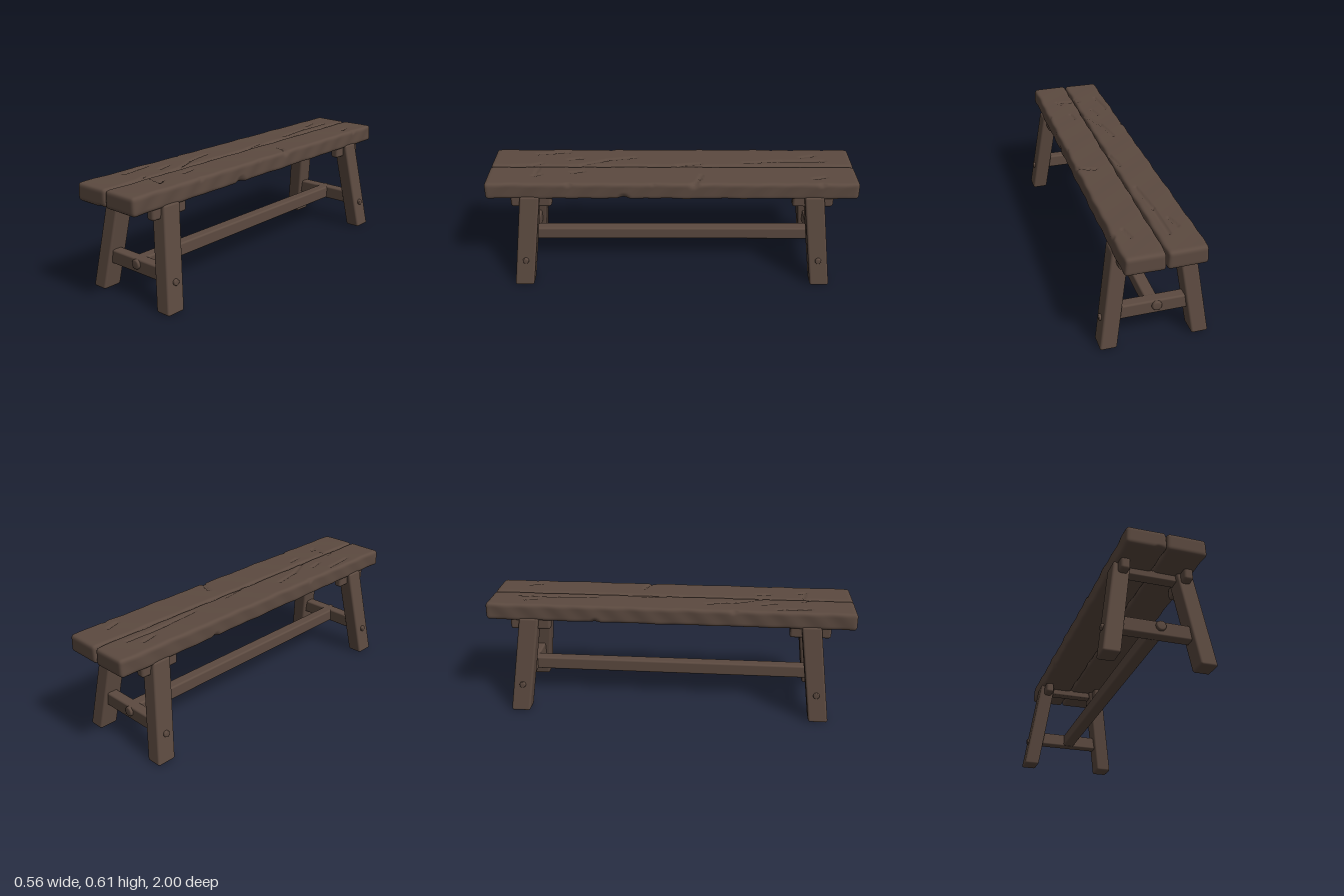
import * as THREE from 'three';
import { mergeVertices } from 'three/addons/utils/BufferGeometryUtils.js';
import { RoundedBoxGeometry } from 'three/addons/geometries/RoundedBoxGeometry.js';

const wood = new THREE.MeshStandardMaterial({ color: 0x5c4a40 });
wood.name = 'dark wood';

// Cracks in the seat surface: [x1, z1, x2, z2]
const CRACKS = [
  [0.10, -0.16, 0.14, -0.15], [0.14, -0.15, 0.20, -0.12], [0.12, -0.83, 0.14, -0.76],
  [0.02, 0.73, 0.09, 0.74], [0.09, 0.71, 0.11, 0.75], [0.06, 0.48, 0.07, 0.55],
  [-0.10, -0.72, -0.12, -0.80], [-0.06, -0.85, -0.06, -0.62], [-0.06, -0.62, -0.04, -0.40],
  [-0.03, -0.16, -0.01, -0.03], [-0.10, 0.20, -0.07, 0.36], [-0.07, 0.36, -0.01, 0.50],
  [-0.16, 0.58, -0.14, 0.76], [-0.09, 0.50, -0.07, 0.58], [-0.03, 0.72, -0.01, 0.77],
];
// Chips knocked out of the plank edges: [x, y, z, radius]
const CHIPS = [
  [-0.03, 0.515, 1.0, 0.035], [0.205, 0.515, 0.26, 0.04], [0.205, 0.61, -0.12, 0.03],
  [0.205, 0.61, 0.55, 0.025], [0.205, 0.61, -0.8, 0.025], [-0.205, 0.61, 0.35, 0.025],
  [-0.205, 0.515, -0.4, 0.03], [0.205, 0.61, 0.1, 0.02],
];

function segmentDistance(x, z, [x1, z1, x2, z2]) {
  const dx = x2 - x1, dz = z2 - z1;
  const t = THREE.MathUtils.clamp(((x - x1) * dx + (z - z1) * dz) / (dx * dx + dz * dz), 0, 1);
  return Math.hypot(x - x1 - t * dx, z - z1 - t * dz);
}

// Rounded, slightly wavy plank with carved cracks and chipped edges
function plankGeometry(cx) {
  const half = new THREE.Vector3(0.1, 0.047, 1), r = 0.018;
  const box = new THREE.BoxGeometry(0.2, 0.094, 2, 30, 12, 200);
  box.deleteAttribute('normal');
  box.deleteAttribute('uv');
  const geo = mergeVertices(box);
  const pos = geo.attributes.position;
  const inner = half.clone().subScalar(r);
  const p = new THREE.Vector3(), c = new THREE.Vector3(), chip = new THREE.Vector3();
  for (let i = 0; i < pos.count; i++) {
    p.fromBufferAttribute(pos, i);
    c.copy(p).clamp(inner.clone().negate(), inner);
    p.sub(c).normalize().multiplyScalar(r).add(c);
    const top = p.y > half.y - 0.006;
    const side = p.x / half.x;
    // hewn waviness
    p.x += side * 0.0016 * (Math.sin(p.z * 17 + cx * 30) + Math.sin(p.z * 41 + p.y * 40));
    p.y += 0.0008 * Math.sin(p.z * 23 + p.x * 18 + cx * 50);
    p.x += cx;
    p.y += 0.562;
    if (top) {
      for (const crack of CRACKS) {
        const d = segmentDistance(p.x, p.z, crack) / 0.006;
        p.y -= 0.007 * Math.exp(-d * d);
      }
    }
    for (const [x, y, z, rad] of CHIPS) {
      chip.set(x, y, z);
      const d = p.distanceTo(chip);
      if (d < rad && Math.sign(x) === Math.sign(cx)) {
        c.set(cx, 0.562, p.z).sub(p).normalize();
        p.addScaledVector(c, (rad - d) * 0.45);
      }
    }
    pos.setXYZ(i, p.x, p.y, p.z);
  }
  geo.computeVertexNormals();
  return geo;
}

function add(parent, name, geo, x = 0, y = 0, z = 0) {
  const mesh = new THREE.Mesh(geo, wood);
  mesh.name = name;
  mesh.position.set(x, y, z);
  parent.add(mesh);
  return mesh;
}

const beam = (w, h, d, r) => new RoundedBoxGeometry(w, h, d, 3, r);

// Round peg with a softened head, pointing along +y
function pegGeometry(radius, length) {
  const b = radius * 0.3;
  const profile = [[radius, 0], [radius, length - b], [radius - b * 0.3, length - b * 0.3],
    [radius - b, length], [0, length]].map(([x, y]) => new THREE.Vector2(x, y));
  return new THREE.LatheGeometry(profile, 24);
}

// One end frame: splayed legs, brackets, cross rails and pegs
function trestle(name) {
  const group = new THREE.Group();
  group.name = name;
  for (const s of [-1, 1]) {
    const leg = beam(0.088, 0.53, 0.106, 0.012);
    leg.translate(0, 0.265, 0);
    leg.applyMatrix4(new THREE.Matrix4().set(
      1, -0.145 * s, 0, 0,
      0, 1, 0, 0,
      0, -0.123, 1, 0,
      0, 0, 0, 1));
    const side = s > 0 ? 'left' : 'right';
    add(group, side + 'Leg', leg, 0.239 * s, 0, 0.828);
    add(group, side + 'Bracket', beam(0.048, 0.068, 0.22, 0.014), 0.163 * s, 0.493, 0.76);
    const peg = add(group, side + 'LegPeg', pegGeometry(0.017, 0.05), 0.222 * s, 0.155, 0.809);
    peg.rotation.z = -s * Math.PI / 2;
  }
  add(group, 'upperRail', beam(0.29, 0.045, 0.06, 0.008), 0, 0.503, 0.765);
  add(group, 'lowerRail', beam(0.40, 0.077, 0.06, 0.01), 0, 0.179, 0.808);
  const peg = add(group, 'railPeg', pegGeometry(0.026, 0.03), 0.017, 0.19, 0.822);
  peg.rotation.x = Math.PI / 2;
  return group;
}

export function createModel() {
  const model = new THREE.Group();
  model.name = 'bench';
  add(model, 'leftPlank', plankGeometry(0.102));
  add(model, 'rightPlank', plankGeometry(-0.102));

  const back = trestle('backTrestle');
  back.rotation.y = Math.PI;
  model.add(trestle('frontTrestle'), back);

  add(model, 'stretcher', beam(0.065, 0.072, 1.6, 0.01), 0, 0.18, 0);
  return model;
}
